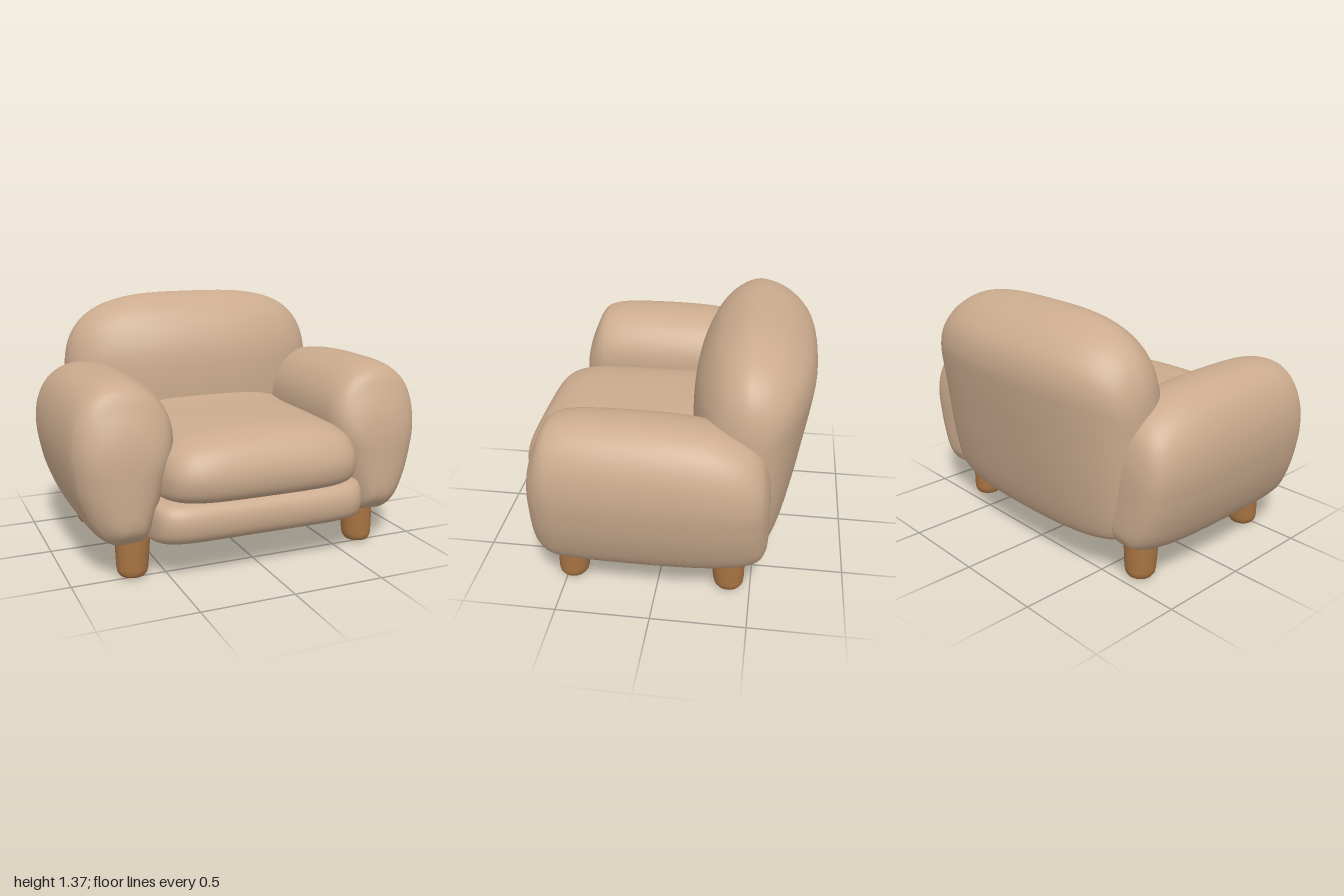
import * as THREE from 'three';
import { mergeVertices } from 'three/addons/utils/BufferGeometryUtils.js';

// Rounded solid: a smooth closed profile (a, y) swept along an axis.
// Each station is [position, scale of a, scale of y]; below the centre the
// y scale is softened by `flat` so undersides stay level.
function pillow(profile, center, stations, flat, place) {
  const N = 72;
  const curve = new THREE.CatmullRomCurve3(profile.map(([a, y]) => new THREE.Vector3(a, y, 0)), true);
  const pts = curve.getPoints(N).slice(0, N);
  const pos = [], index = [];
  for (const [t, sa, sy] of stations) {
    for (const p of pts) {
      const dy = p.y - center[1];
      const a = center[0] + (p.x - center[0]) * sa;
      const y = center[1] + dy * (dy < 0 ? Math.pow(sy, flat) : sy);
      pos.push(...place(t, a, y));
    }
  }
  for (let i = 0; i < stations.length - 1; i++) {
    for (let j = 0; j < N; j++) {
      const k = (j + 1) % N, r = i * N, s = r + N;
      index.push(r + j, s + j, r + k, r + k, s + j, s + k);
    }
  }
  // Make all faces point outwards, using the signed volume
  const v = (i) => new THREE.Vector3().fromArray(pos, i * 3);
  let volume = 0;
  for (let i = 0; i < index.length; i += 3) {
    volume += v(index[i]).dot(v(index[i + 1]).cross(v(index[i + 2])));
  }
  if (volume < 0) index.reverse();
  let geo = new THREE.BufferGeometry();
  geo.setAttribute('position', new THREE.Float32BufferAttribute(pos, 3));
  geo.setIndex(index);
  geo = mergeVertices(geo, 1e-5);
  geo.computeVertexNormals();
  return geo;
}

// Symmetrical stations whose ends round off as superellipses
function puffed(half, na, ny, steps = 56) {
  const out = [];
  for (let i = 0; i <= steps; i++) {
    const t = Math.sin(Math.PI / 2 * Math.sin(Math.PI / 2 * (2 * i / steps - 1)));
    const scale = (n) => Math.pow(Math.max(0, 1 - Math.pow(Math.abs(t), n)), 1 / n);
    out.push([half * t, scale(na), scale(ny)]);
  }
  return out;
}

export function createModel() {
  const model = new THREE.Group();
  const fabric = new THREE.MeshStandardMaterial({ color: 0xcbab8e });
  fabric.name = 'beigeFabric';
  const wood = new THREE.MeshStandardMaterial({ color: 0xa87443 });
  wood.name = 'wood';
  const add = (name, geo, mat) => {
    const mesh = new THREE.Mesh(geo, mat);
    mesh.name = name;
    model.add(mesh);
    return mesh;
  };
  const alongX = (t, a, y) => [t, y, a];

  // Backrest, profile in z and y
  add('backrest', pillow([
    [-0.42, 1.37], [-0.52, 1.36], [-0.65, 1.305], [-0.755, 1.2], [-0.788, 1.08], [-0.777, 0.95],
    [-0.745, 0.75], [-0.7, 0.5], [-0.65, 0.3], [-0.61, 0.225], [-0.53, 0.197], [-0.4, 0.195],
    [-0.25, 0.22], [-0.16, 0.4], [-0.13, 0.7], [-0.13, 0.95], [-0.155, 1.1], [-0.23, 1.25], [-0.32, 1.33],
  ], [-0.46, 0.85], puffed(0.775, 2.4, 3.2), 0.3, alongX), fabric);

  // Seat cushion
  add('seatCushion', pillow([
    [0.79, 0.54], [0.77, 0.63], [0.71, 0.71], [0.6, 0.755], [0.4, 0.77], [0, 0.775], [-0.38, 0.775],
    [-0.45, 0.6], [-0.4, 0.41], [0, 0.405], [0.6, 0.405], [0.7, 0.415], [0.765, 0.455],
  ], [0.15, 0.53], puffed(0.565, 5.5, 3), 0.35, alongX), fabric);

  // Base below the cushion
  add('seatBase', pillow([
    [0.735, 0.31], [0.722, 0.375], [0.68, 0.415], [0.5, 0.425], [0, 0.425], [-0.5, 0.425], [-0.57, 0.31],
    [-0.52, 0.2], [0, 0.192], [0.55, 0.192], [0.66, 0.202], [0.715, 0.24],
  ], [0.1, 0.31], puffed(0.61, 8, 7), 0.6, alongX), fabric);

  // Arms: profile in x and y, stations from front to back
  const armProfile = [
    [0.73, 1.035], [0.83, 1.02], [0.92, 0.955], [0.98, 0.84], [1, 0.69], [0.985, 0.55], [0.95, 0.41],
    [0.88, 0.26], [0.8, 0.197], [0.7, 0.19], [0.61, 0.205], [0.56, 0.3], [0.5, 0.47], [0.445, 0.65],
    [0.435, 0.75], [0.455, 0.85], [0.52, 0.95], [0.62, 1.015],
  ];
  const armStations = new THREE.CatmullRomCurve3([
    [0.66, 0, 0], [0.655, 0.28, 0.26], [0.636, 0.55, 0.48], [0.6, 0.74, 0.69], [0.555, 0.86, 0.88],
    [0.51, 0.925, 0.945], [0.42, 0.965, 0.985], [0.2, 1, 1], [-0.1, 1, 0.985], [-0.3, 0.965, 0.93],
    [-0.45, 0.87, 0.81], [-0.53, 0.74, 0.66], [-0.57, 0.52, 0.42], [-0.582, 0.25, 0.2], [-0.583, 0, 0],
  ].map((s) => new THREE.Vector3(...s))).getPoints(84).map((p) => [p.x, Math.max(0, p.y), Math.max(0, p.z)]);
  for (const side of [1, -1]) {
    add(side > 0 ? 'leftArm' : 'rightArm',
      pillow(armProfile, [0.71, 0.55], armStations, 0.4, (t, a, y) => [side * a, y, t]), fabric);
  }

  // Legs: tapered with rounded feet, slightly splayed
  const legProfile = [
    [0, 0], [0.045, 0.002], [0.066, 0.01], [0.078, 0.027], [0.083, 0.05], [0.092, 0.2], [0.092, 0.26], [0, 0.26],
  ].map(([r, y]) => new THREE.Vector2(r, y));
  for (const side of [1, -1]) {
    for (const [name, z, splay] of [['Front', 0.472, 0.05], ['Back', -0.385, -0.05]]) {
      const geo = new THREE.LatheGeometry(legProfile, 32);
      geo.applyMatrix4(new THREE.Matrix4().set(
        1, -side * 0.03, 0, 0,
        0, 1, 0, 0,
        0, -splay, 1, 0,
        0, 0, 0, 1));
      const leg = add((side > 0 ? 'left' : 'right') + name + 'Leg', geo, wood);
      leg.position.set(side * 0.672, 0, z);
    }
  }
  return model;
}
